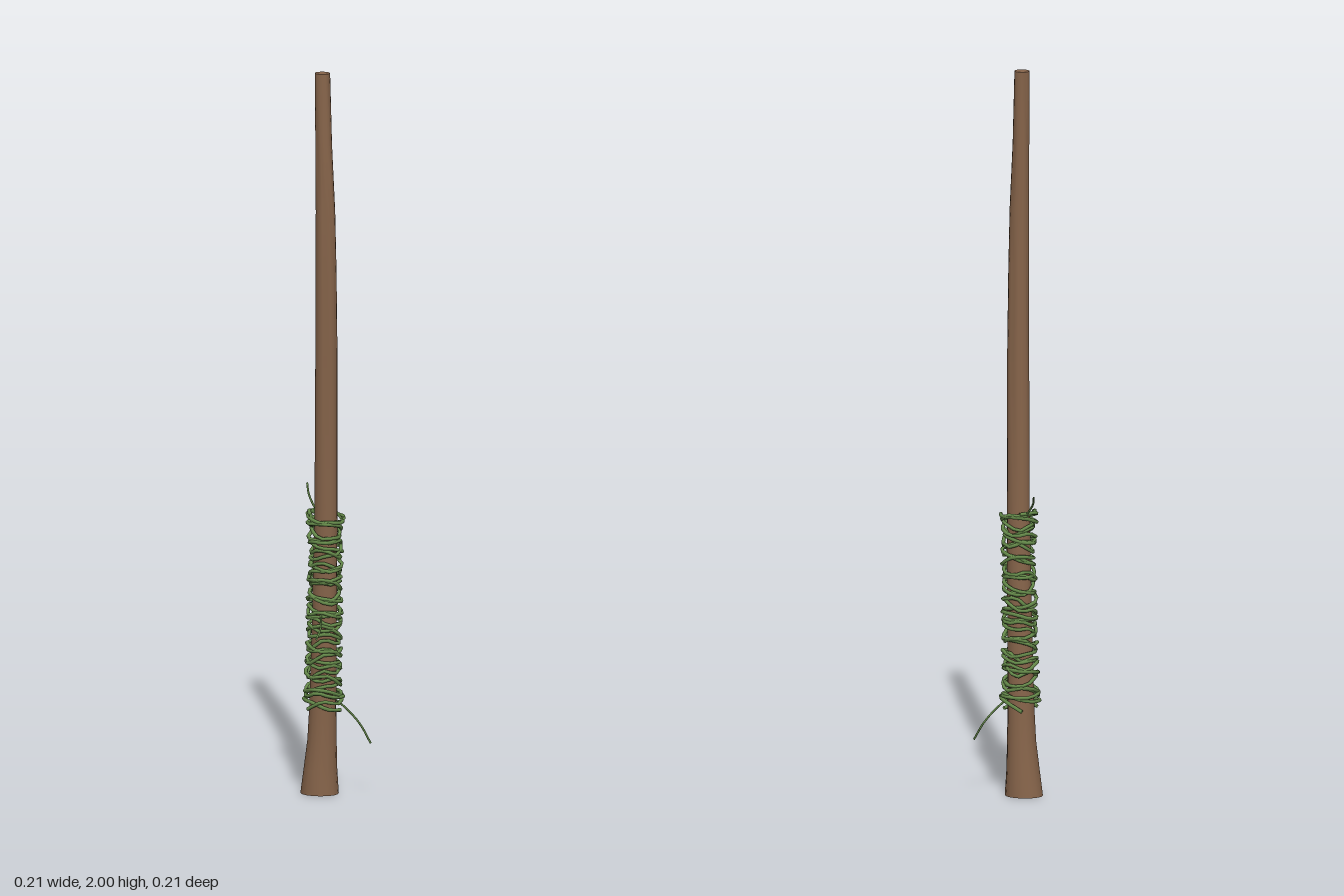
import * as THREE from 'three';
import { toCreasedNormals } from 'three/addons/utils/BufferGeometryUtils.js';

// Shaft sections from the ground up: height, centre x, centre z, radius in x, radius in z
const SECTIONS = [
  [0, -0.040, -0.035, 0.053, 0.048],
  [0.07, -0.037, -0.034, 0.046, 0.043],
  [0.15, -0.032, -0.033, 0.040, 0.038],
  [0.24, -0.029, -0.031, 0.037, 0.035],
  [0.5, -0.021, -0.024, 0.034, 0.031],
  [0.8, -0.013, -0.016, 0.032, 0.027],
  [1.2, -0.008, -0.007, 0.031, 0.026],
  [1.45, -0.006, 0.000, 0.029, 0.025],
  [1.62, -0.007, 0.002, 0.027, 0.023],
  [1.8, -0.013, 0.000, 0.023, 0.021],
  [2, -0.018, -0.003, 0.021, 0.020],
];

// Interpolated section at height y
function sectionAt(y) {
  let i = 0;
  while (i < SECTIONS.length - 2 && y > SECTIONS[i + 1][0]) i++;
  const a = SECTIONS[i], b = SECTIONS[i + 1];
  const t = (y - a[0]) / (b[0] - a[0]);
  return a.map((v, k) => v + (b[k] - v) * t);
}

function seeded(seed) {
  let s = seed;
  return () => (s = (s * 16807) % 2147483647) / 2147483647;
}

// Bent, flared shaft: a unit lathe whose rings are scaled and shifted
function makeShaft(material) {
  const heights = SECTIONS.map((s) => s[0]);
  const points = [
    new THREE.Vector2(0, 0),
    ...heights.map((y) => new THREE.Vector2(1, y)),
    new THREE.Vector2(0, 2),
  ];
  const geometry = new THREE.LatheGeometry(points, 16);
  const p = geometry.attributes.position;
  for (let i = 0; i < p.count; i++) {
    const [y, cx, cz, rx, rz] = sectionAt(p.getY(i));
    p.setXYZ(i, cx + p.getX(i) * rx, y, cz + p.getZ(i) * rz);
  }
  const mesh = new THREE.Mesh(toCreasedNormals(geometry, 0.8), material);
  mesh.name = 'shaft';
  return mesh;
}

// One vine strand wound unevenly around the grip
function makeStrand(index, from, to, turns, phase, material) {
  const random = seeded(101 + index * 977);
  const perTurn = 7, steps = turns * perTurn;
  const path = [];
  for (let i = 0; i <= steps; i++) {
    const t = i / steps;
    const angle = phase + t * turns * Math.PI * 2;
    const wobble = (random() - 0.5) * 0.024;
    const y = THREE.MathUtils.clamp(from + (to - from) * t + wobble, 0.235, 0.795);
    const [, cx, cz, rx, rz] = sectionAt(y);
    // looser coils at both ends of the grip
    const loose = 0.007 * Math.pow(Math.abs(2 * t - 1), 6);
    const lift = 0.006 + random() * 0.009 + loose;
    path.push(new THREE.Vector3(
      cx + Math.cos(angle) * (rx + lift), y, cz + Math.sin(angle) * (rz + lift)));
  }
  const curve = new THREE.CatmullRomCurve3(path);
  const mesh = new THREE.Mesh(new THREE.TubeGeometry(curve, steps * 2, 0.0052, 6), material);
  mesh.name = 'vineStrand';
  return mesh;
}

// Thin loose end curling away from the grip
function makeTendril(points, material) {
  const curve = new THREE.CatmullRomCurve3(points.map((p) => new THREE.Vector3(...p)));
  const mesh = new THREE.Mesh(new THREE.TubeGeometry(curve, 14, 0.0028, 6), material);
  mesh.name = 'tendril';
  return mesh;
}

export function createModel() {
  const wood = new THREE.MeshStandardMaterial({ color: 0x86644a });
  const vine = new THREE.MeshStandardMaterial({ color: 0x658a4a, side: THREE.DoubleSide });
  const model = new THREE.Group();
  model.name = 'staff';
  model.add(makeShaft(wood));

  const grip = new THREE.Group();
  grip.name = 'vineWrap';
  // strands wind both ways so that they cross
  grip.add(makeStrand(0, 0.24, 0.78, 14, 0, vine));
  grip.add(makeStrand(1, 0.79, 0.25, 13, 2.1, vine));
  grip.add(makeStrand(2, 0.25, 0.79, 12, 4.2, vine));

  grip.add(makeTendril([[0.012, 0.262, -0.03], [0.04, 0.235, -0.042], [0.072, 0.195, -0.054], [0.103, 0.145, -0.054]], vine));
  grip.add(makeTendril([[-0.045, 0.775, -0.035], [-0.07, 0.798, -0.055], [-0.088, 0.818, -0.073], [-0.105, 0.842, -0.102]], vine));
  grip.add(makeTendril([[-0.015, 0.505, 0.015], [-0.004, 0.488, 0.04], [0.005, 0.472, 0.068], [0.008, 0.452, 0.102]], vine));
  model.add(grip);
  return model;
}
